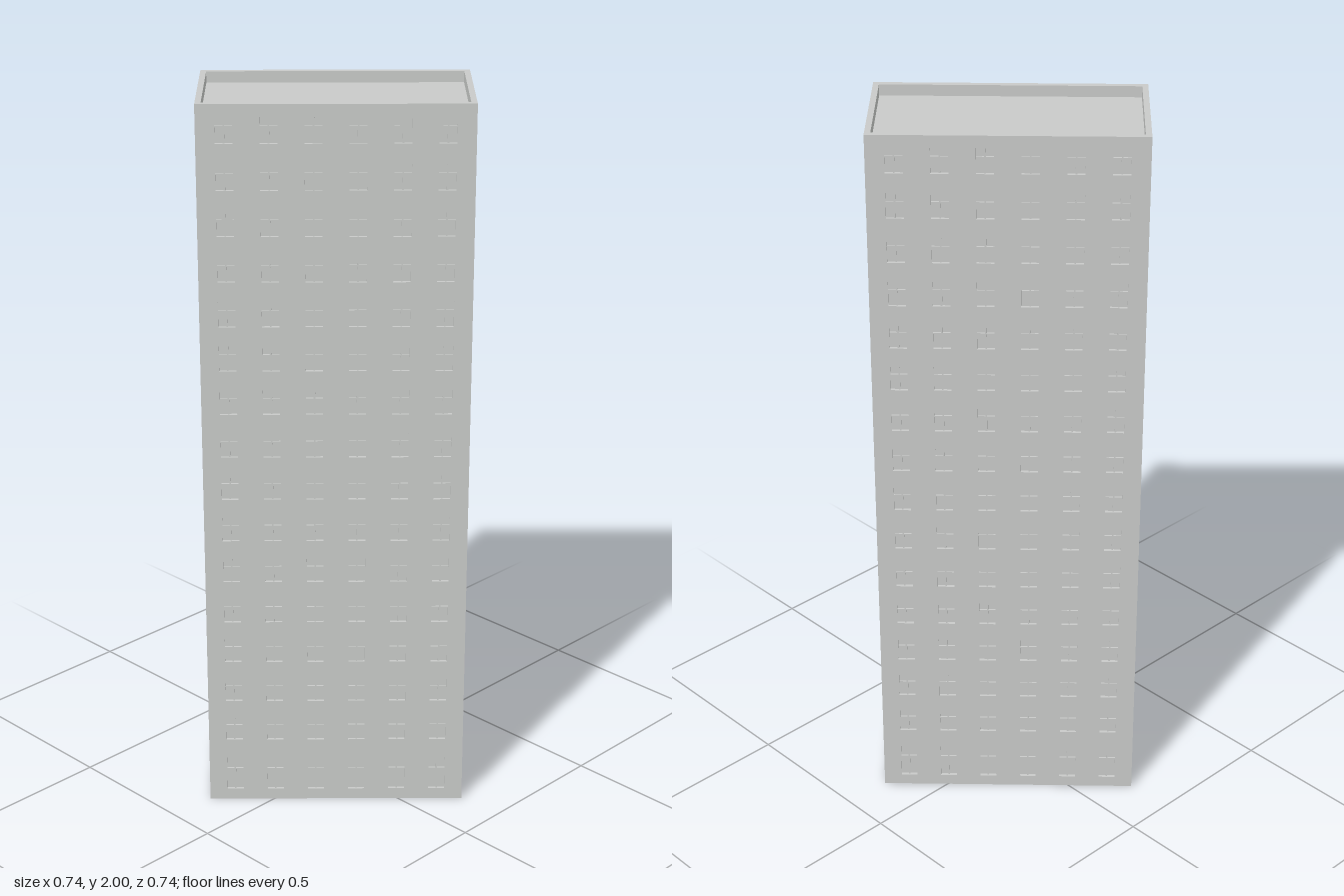
import * as THREE from 'three';
import { mergeGeometries } from 'three/addons/utils/BufferGeometryUtils.js';

const LENGTH = 0.705, WIDTH = 0.345, HEIGHT = 2, WALL = 0.0156, ROOF = 1.97;
const WIN_W = 0.045, ROWS = 16;

// Window sill and head heights: a taller ground floor, then equal storeys
const rows = Array.from({ length: ROWS }, (_, i) =>
  i === 0 ? [0.032, 0.133] : [0.19 + (i - 1) * 0.122, 0.259 + (i - 1) * 0.122]);

function box(w, h, d, x, y, z) {
  return new THREE.BoxGeometry(w, h, d).translate(x, y, z);
}

// One facade, outer surface on z = 0, facing +z
function facade(width, columns, spacing, concrete) {
  const group = new THREE.Group();
  const shape = new THREE.Shape();
  shape.moveTo(-width / 2, 0).lineTo(width / 2, 0).lineTo(width / 2, HEIGHT).lineTo(-width / 2, HEIGHT).closePath();
  const panes = [], bars = [];

  for (let c = 0; c < columns; c++) {
    const x = (c - (columns - 1) / 2) * spacing;
    for (const [y0, y1] of rows) {
      const l = x - WIN_W / 2, r = x + WIN_W / 2, h = y1 - y0, mid = (y0 + y1) / 2;
      const hole = new THREE.Path();
      hole.moveTo(l, y0).lineTo(l, y1).lineTo(r, y1).lineTo(r, y0).closePath();
      shape.holes.push(hole);
      panes.push(box(WIN_W, h, 0.004, x, mid, -0.01));
      // Mullion and transom
      bars.push(box(0.004, h, 0.004, x, mid, -0.006));
      bars.push(box(WIN_W, 0.004, 0.004, x, y0 + h * 0.62, -0.006));
    }
  }

  const wallGeo = new THREE.ExtrudeGeometry(shape, { depth: WALL, bevelEnabled: false });
  wallGeo.translate(0, 0, -WALL);
  const add = (geo, name) => {
    const mesh = new THREE.Mesh(geo, concrete);
    mesh.name = name;
    group.add(mesh);
  };
  add(wallGeo, 'wall');
  add(mergeGeometries(panes), 'windowPanes');
  add(mergeGeometries(bars), 'windowBars');
  return group;
}

export function createModel() {
  const concrete = new THREE.MeshStandardMaterial({ color: 0xc8cac8 });
  concrete.name = 'pale grey concrete';

  const tower = new THREE.Group();
  tower.name = 'tower';

  // Solid core: its top is the roof, sunk behind the parapet
  const core = new THREE.Mesh(
    box(LENGTH - 2 * WALL, ROOF, WIDTH - 2 * WALL, 0, ROOF / 2, 0), concrete);
  core.name = 'coreAndRoof';
  tower.add(core);

  // Two long and two short facades; the short ones fit between the long ones
  for (let i = 0; i < 4; i++) {
    const long = i % 2 === 0;
    const side = long
      ? facade(LENGTH, 6, 0.1125, concrete)
      : facade(WIDTH - 2 * WALL, 3, 0.105, concrete);
    const angle = i * Math.PI / 2, reach = (long ? WIDTH : LENGTH) / 2;
    side.name = long ? 'longFacade' : 'shortFacade';
    side.rotation.y = angle;
    side.position.set(Math.sin(angle) * reach, 0, Math.cos(angle) * reach);
    tower.add(side);
  }

  // The block stands diagonally
  tower.rotation.y = Math.PI / 4;
  const model = new THREE.Group();
  model.name = 'apartmentBlock';
  model.add(tower);
  return model;
}
